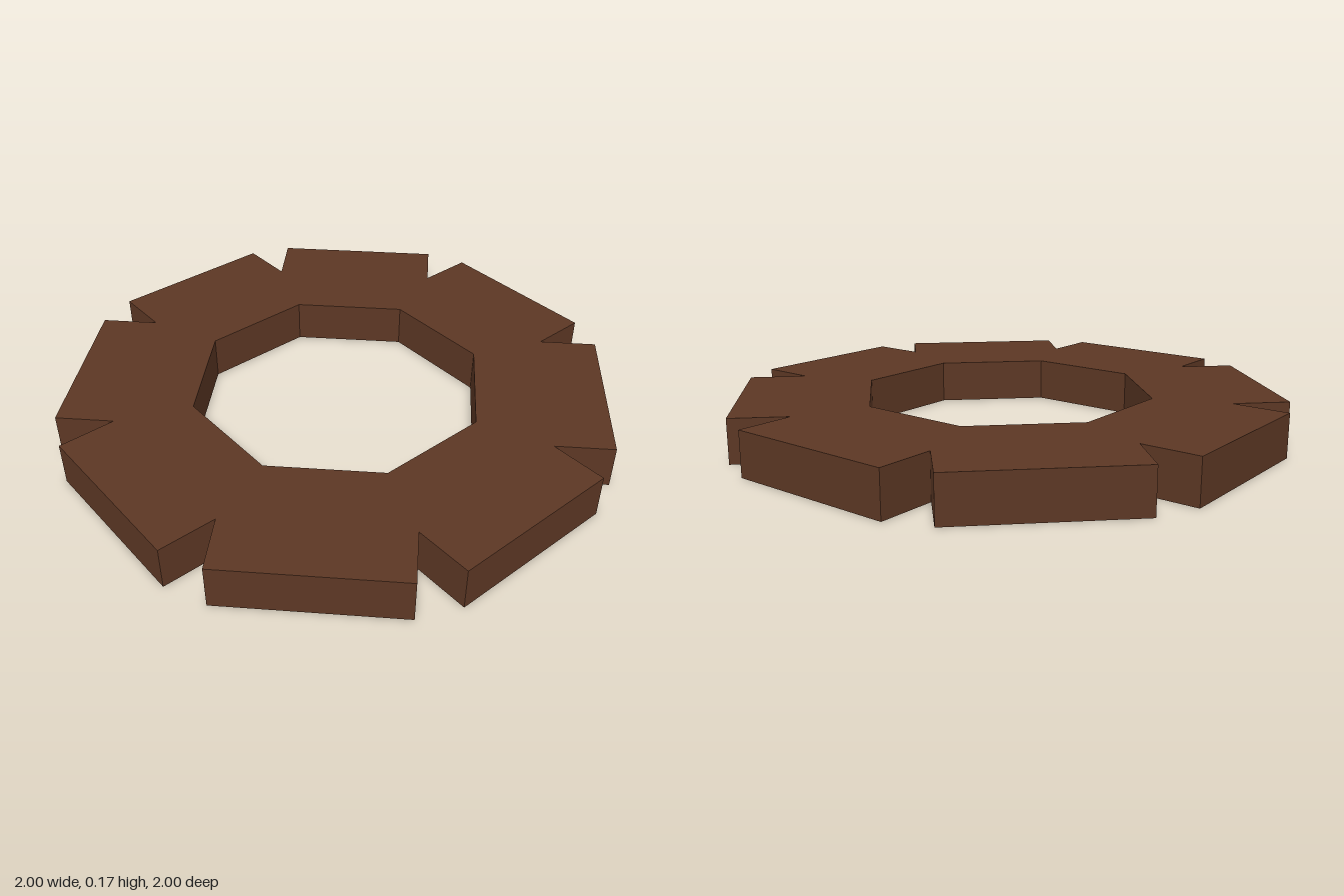
import * as THREE from 'three';

const SIDES = 8;
const HEIGHT = 0.165;
const OUTER = 1;          // centre to outer face of each block
const INNER = 0.516;      // centre to each flat of the opening
const HALF_WIDTH = 0.325; // half width of each block

export function createModel() {
  const group = new THREE.Group();
  group.name = 'notchedRing';

  const wood = new THREE.MeshStandardMaterial({ color: 0x5c3724, flatShading: true });
  wood.name = 'dark brown';

  // Eight blocks around the ring meet at V-shaped notches
  const half = Math.PI / SIDES;
  const notch = HALF_WIDTH / Math.sin(half);
  const outline = [];
  const opening = [];
  const centre = new THREE.Vector2();
  for (let i = 0; i < SIDES; i++) {
    const angle = i * 2 * half;
    outline.push(
      new THREE.Vector2(OUTER, -HALF_WIDTH).rotateAround(centre, angle),
      new THREE.Vector2(OUTER, HALF_WIDTH).rotateAround(centre, angle),
      new THREE.Vector2(notch, 0).rotateAround(centre, angle + half)
    );
    opening.push(new THREE.Vector2(INNER / Math.cos(half), 0).rotateAround(centre, angle + half));
  }

  // Solid ring with an octagonal opening, laid flat
  const shape = new THREE.Shape(outline);
  shape.holes.push(new THREE.Path(opening));
  const geometry = new THREE.ExtrudeGeometry(shape, { depth: HEIGHT, bevelEnabled: false });
  geometry.rotateX(-Math.PI / 2);

  const ring = new THREE.Mesh(geometry, wood);
  ring.name = 'ring';
  group.add(ring);
  return group;
}
